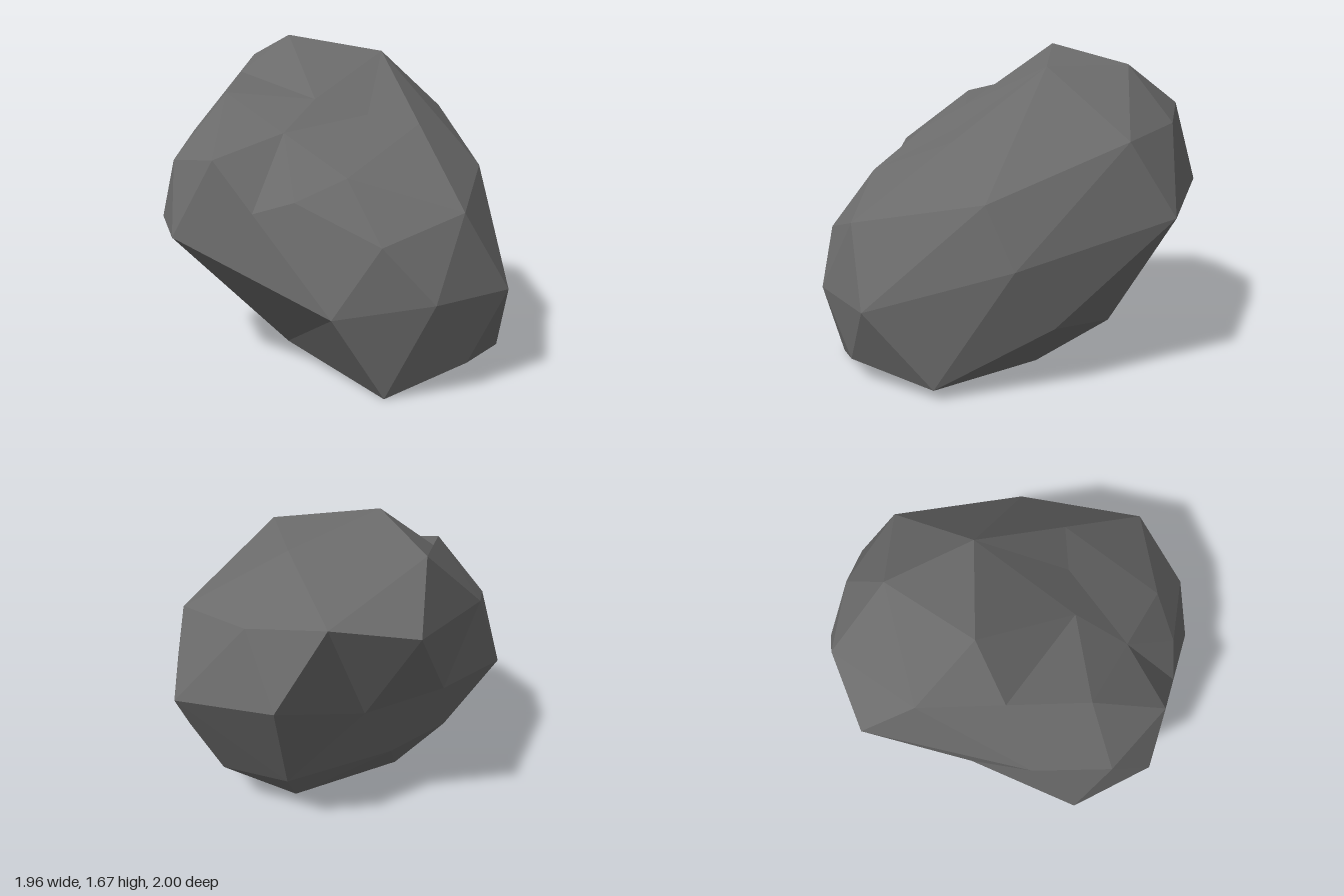
import * as THREE from 'three';
import { ConvexGeometry } from 'three/addons/geometries/ConvexGeometry.js';

// Corners of the boulder, grouped by the side they belong to
const crown = [ // 0 - 9
  [-0.01, 1.67, -0.46], [0.52, 1.58, -0.38], [0.25, 1.58, 0], [0.10, 1.56, -0.83],
  [0.64, 1.35, -0.74], [0.79, 1.29, -0.38], [0.33, 1.29, -1.0], [0.78, 1.25, 0.07],
  [-0.58, 1.37, -0.40], [-0.91, 1.07, -0.18],
];
const front = [ // 10 - 18
  [0.305, 0.975, 0.60], [0.47, 0.67, 0.59], [0.14, 0.06, 0.81], [-0.34, 0.13, 0.89],
  [-0.33, 0.845, 0.86], [-0.14, 0.46, 1.0], [-0.57, 0.46, 0.855], [-0.70, 0.72, 0.65],
  [-0.62, 1.0, 0.40],
];
const sides = [ // 19 - 26
  [0.975, 0.87, -0.07], [0.83, 0.96, -0.60], [0.65, 0.285, 0], [0.57, 0.345, 0.39],
  [0.55, 0.34, -0.385], [-0.865, 0.40, 0.49], [-0.98, 0.68, -0.40], [-0.80, 1.03, -0.57],
];
const back = [ // 27 - 32
  [-0.71, 0.70, -0.77], [-0.46, 1.145, -0.775], [-0.13, 0.785, -0.82],
  [-0.33, 0.43, -0.705], [0.05, 0.41, -0.65], [0.31, 0.77, -0.68],
];
const base = [ // 33 - 38
  [-0.665, 0, 0.64], [0.34, 0.05, 0.21], [0.33, 0.05, -0.22], [-0.10, 0.03, 0.12],
  [-0.47, 0.065, -0.10], [-0.26, 0.075, -0.44],
];
// Long straight ridges: two corners and how far along an extra point sits
const ridges = [
  [2, 14, 0.5], [0, 14, 0.5], [0, 18, 0.5], [8, 18, 0.5], [3, 8, 0.5], // top slope
  [9, 17, 0.5], [9, 24, 0.35], [9, 24, 0.65], [25, 24, 0.5], // right flank
  [13, 37, 0.5], // underside
];

// Joins the corners into a closed skin as seen from the centre, so that dents survive
function skin(points, centre) {
  const directions = points.map((p) => p.clone().sub(centre).normalize());
  const geometry = new ConvexGeometry(directions);
  const position = geometry.attributes.position;
  const v = new THREE.Vector3();
  for (let i = 0; i < position.count; i++) {
    v.fromBufferAttribute(position, i);
    const p = points[directions.findIndex((d) => d.distanceTo(v) < 1e-4)];
    position.setXYZ(i, p.x, p.y, p.z);
  }
  geometry.computeVertexNormals();
  return geometry;
}

export function createModel() {
  const stone = new THREE.MeshStandardMaterial({ color: 0x6b6b6b, flatShading: true });
  stone.name = 'stone grey';

  const corners = [...crown, ...front, ...sides, ...back, ...base].map((p) => new THREE.Vector3(...p));
  const extras = ridges.map(([a, b, t]) => corners[a].clone().lerp(corners[b], t));
  const boulder = new THREE.Mesh(skin([...corners, ...extras], new THREE.Vector3(0, 0.83, 0)), stone);
  boulder.name = 'boulder';

  const group = new THREE.Group();
  group.name = 'rock';
  group.add(boulder);
  return group;
}
